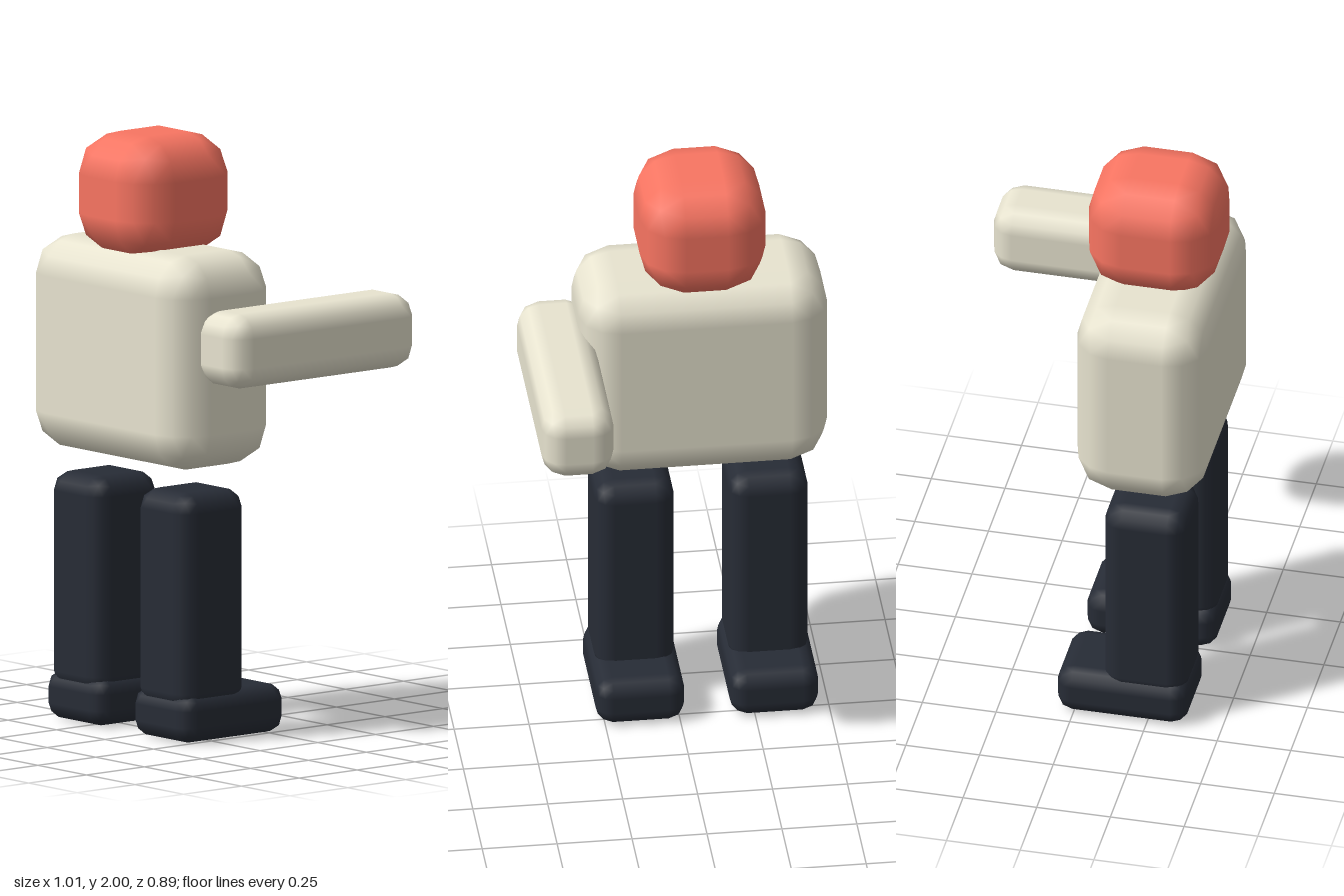
import * as THREE from 'three';
import { ConvexGeometry } from 'three/addons/geometries/ConvexGeometry.js';

const STEPS = 3; // bevel steps per edge

// Box between two corners with bevelled edges and smooth normals
function bevelBox(name, min, max, r, material) {
  const center = new THREE.Vector3().addVectors(min, max).multiplyScalar(0.5);
  const inner = new THREE.Vector3().subVectors(max, min).multiplyScalar(0.5).subScalar(r);
  const step = Math.PI / 2 / STEPS;
  const points = [];
  for (const sx of [-1, 1]) for (const sy of [-1, 1]) for (const sz of [-1, 1]) {
    const sign = new THREE.Vector3(sx, sy, sz);
    for (let i = 0; i <= STEPS; i++) for (let j = 0; j <= STEPS - i; j++) {
      const dir = new THREE.Vector3(Math.sin(i * step), Math.sin(j * step), Math.sin((STEPS - i - j) * step));
      points.push(dir.setLength(r).add(inner).multiply(sign));
    }
  }
  const geometry = new ConvexGeometry(points);

  // Normals point away from the inner box
  const { position, normal } = geometry.attributes;
  const low = inner.clone().negate();
  const p = new THREE.Vector3();
  const q = new THREE.Vector3();
  for (let i = 0; i < position.count; i++) {
    p.fromBufferAttribute(position, i);
    q.copy(p).clamp(low, inner);
    p.sub(q).normalize();
    normal.setXYZ(i, p.x, p.y, p.z);
  }

  const mesh = new THREE.Mesh(geometry, material);
  mesh.name = name;
  mesh.position.copy(center);
  return mesh;
}

export function createModel() {
  const model = new THREE.Group();
  model.name = 'blockFigure';
  const red = new THREE.MeshStandardMaterial({ color: 0xf97562 });
  const cream = new THREE.MeshStandardMaterial({ color: 0xe8e4d0 });
  const navy = new THREE.MeshStandardMaterial({ color: 0x272c36 });
  const v = (x, y, z) => new THREE.Vector3(x, y, z);

  // Head, torso and the single arm reaching backwards
  model.add(
    bevelBox('head', v(-0.305, 1.59, -0.01), v(0.115, 2, 0.435), 0.14, red),
    bevelBox('torso', v(-0.51, 0.91, 0), v(0.32, 1.63, 0.443), 0.13, cream),
    bevelBox('leftArm', v(0.265, 1.21, -0.445), v(0.505, 1.46, 0.355), 0.075, cream),
  );

  // Legs with feet that extend to the back
  for (const [side, x] of [['right', -0.316], ['left', 0.131]]) {
    model.add(
      bevelBox(side + 'Leg', v(x - 0.133, 0.1, 0.095), v(x + 0.133, 0.835, 0.38), 0.065, navy),
      bevelBox(side + 'Foot', v(x - 0.148, 0, -0.06), v(x + 0.148, 0.165, 0.385), 0.055, navy),
    );
  }
  return model;
}
